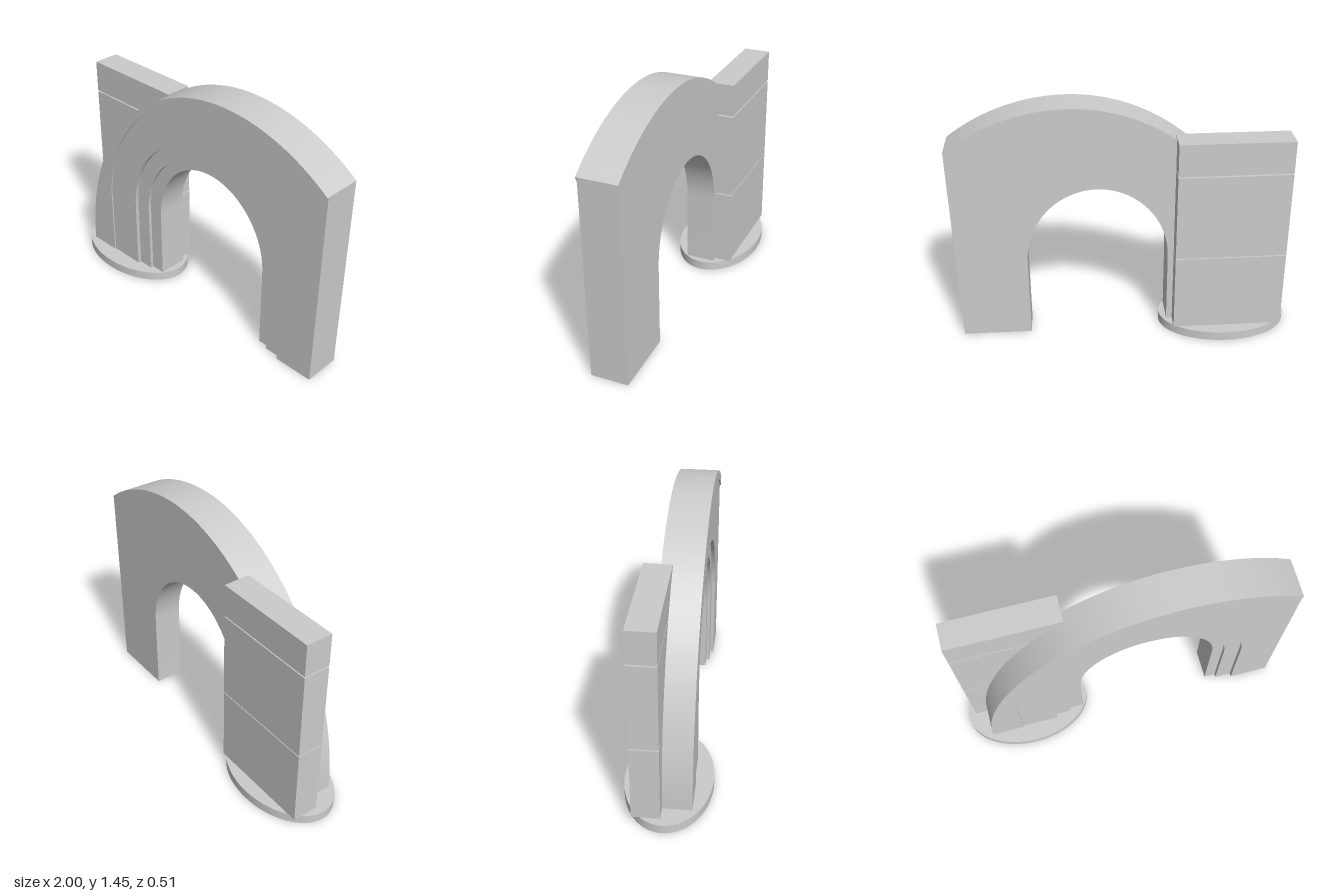
import * as THREE from 'three';
import { toCreasedNormals } from 'three/addons/utils/BufferGeometryUtils.js';

const BACK = -0.075;
const FOOT = 0.05; // left leg stands on the plinth, right leg on the ground

// points of an elliptical arc from angle a0 to a1
function arc(cx, cy, rx, ry, a0, a1, n) {
  return Array.from({ length: n + 1 }, (_, i) => {
    const a = a0 + ((a1 - a0) * i) / n;
    return new THREE.Vector2(cx + rx * Math.cos(a), cy + ry * Math.sin(a));
  });
}

// round-headed opening outline, left foot over to right foot
function opening(x0, x1, top) {
  const spring = 0.5;
  return [
    new THREE.Vector2(x0, FOOT),
    ...arc((x0 + x1) / 2, spring, (x1 - x0) / 2, top - spring, Math.PI, 0, 48),
    new THREE.Vector2(x1, 0),
  ];
}

// lopsided arch curve: left quarter, then a flatter partial sweep ending at xEnd
function sweep(cx, cy, rLeft, rRight, ry, xEnd) {
  return [
    ...arc(cx, cy, rLeft, ry, Math.PI, Math.PI / 2, 40),
    ...arc(cx, cy, rRight, ry, Math.PI / 2, Math.acos((xEnd - cx) / rRight), 24).slice(1),
  ];
}

export function createModel() {
  const model = new THREE.Group();
  const material = new THREE.MeshStandardMaterial({ color: 0xcccccc });

  function add(name, geometry, x = 0, y = 0, z = 0) {
    const mesh = new THREE.Mesh(geometry, material);
    mesh.name = name;
    mesh.position.set(x, y, z);
    model.add(mesh);
    return mesh;
  }

  // slab filling the strip between two outlines, from z0 to z1
  function band(name, outer, inner, z0, z1) {
    const shape = new THREE.Shape([...outer, ...[...inner].reverse()]);
    const geometry = new THREE.ExtrudeGeometry(shape, { depth: z1 - z0, bevelEnabled: false });
    add(name, toCreasedNormals(geometry, 0.5), 0, 0, z0);
  }

  const outerCurve = sweep(0.31, FOOT, 1.18, 1.24, 1.4, 1);
  const rimCurve = [
    new THREE.Vector2(-0.67, FOOT),
    ...sweep(0.3, 0.45, 0.97, 1.03, 0.945, 0.98),
  ];
  const outline = [...outerCurve, new THREE.Vector2(0.98, 0)];
  const wide = opening(-0.445, 0.74, 1.115);
  const middle = opening(-0.35, 0.64, 1.015);
  const narrow = opening(-0.26, 0.57, 0.96);

  // arch wall with two stepped-back mouldings and a thin raised rim
  band('archWall', outline, wide, BACK, 0.147);
  band('outerMoulding', wide, middle, BACK, 0.125);
  band('innerMoulding', middle, narrow, BACK, 0.105);
  band('archRim', outerCurve, rimCurve, 0.147, 0.155);

  // oval plinth under the left leg
  const plinth = add('plinth', new THREE.CylinderGeometry(1, 1, 0.055, 64), -0.61, 0.0275, 0);
  plinth.scale.set(0.39, 1, 0.255);

  // stacked blocks of the rear pier, with narrow joints
  const pier = [['pierLower', 0.055, 0.53], ['pierMiddle', 0.536, 1.058], ['pierUpper', 1.066, 1.26]];
  for (const [name, y0, y1] of pier) {
    add(name, new THREE.BoxGeometry(0.655, y1 - y0, 0.16), -0.6225, (y0 + y1) / 2, -0.092);
  }

  return model;
}
